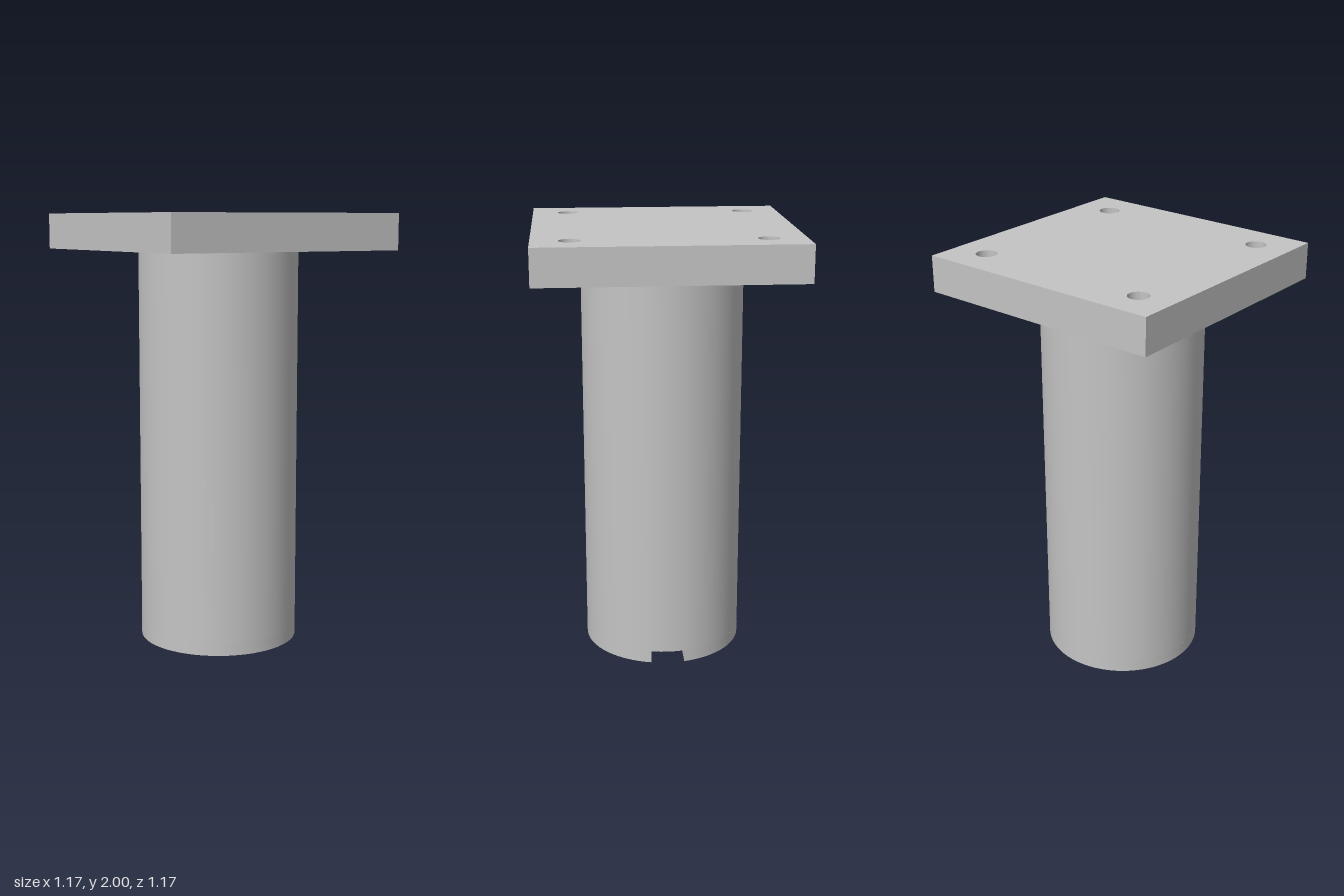
import * as THREE from 'three';
import { toCreasedNormals } from 'three/addons/utils/BufferGeometryUtils.js';

const OUTER = 0.37, BORE = 0.234;          // tube radii
const SLOT_HALF = 0.077, SLOT_TOP = 0.057; // keyway in the lower rim, on +x
const PLATE = 0.585, PLATE_BOTTOM = 1.835, TOP = 2;
const BOLT = 0.419, BOLT_R = 0.047;

// Circular hole for a shape
function hole(x, y, r) {
  const path = new THREE.Path();
  path.absarc(x, y, r, 0, Math.PI * 2, true);
  return path;
}

// Extrude a floor-plan shape upwards from y0 to y1
function extrudeUp(shape, y0, y1) {
  const g = new THREE.ExtrudeGeometry(shape, { depth: y1 - y0, bevelEnabled: false, curveSegments: 36 });
  g.rotateX(-Math.PI / 2);
  g.translate(0, y0, 0);
  return toCreasedNormals(g, Math.PI / 6);
}

export function createModel() {
  const model = new THREE.Group();
  model.name = 'flangedTube';
  const metal = new THREE.MeshStandardMaterial({ color: 0xc4c4c4 });
  metal.name = 'grey metal';

  function add(name, shape, y0, y1) {
    const mesh = new THREE.Mesh(extrudeUp(shape, y0, y1), metal);
    mesh.name = name;
    model.add(mesh);
  }

  // Square mounting plate with four bolt holes
  const plate = new THREE.Shape();
  plate.moveTo(-PLATE, -PLATE).lineTo(PLATE, -PLATE).lineTo(PLATE, PLATE).lineTo(-PLATE, PLATE).closePath();
  for (const sx of [-1, 1]) {
    for (const sz of [-1, 1]) plate.holes.push(hole(sx * BOLT, sz * BOLT, BOLT_R));
  }
  add('mountingPlate', plate, PLATE_BOTTOM, TOP);

  // Hollow tube above the keyway
  const ring = new THREE.Shape();
  ring.absarc(0, 0, OUTER, 0, Math.PI * 2, false);
  ring.holes.push(hole(0, 0, BORE));
  add('tube', ring, SLOT_TOP, PLATE_BOTTOM);

  // Lower rim, a ring cut open by the keyway
  const a = Math.asin(SLOT_HALF / OUTER), b = Math.asin(SLOT_HALF / BORE);
  const rim = new THREE.Shape();
  rim.absarc(0, 0, OUTER, a, Math.PI * 2 - a, false);
  rim.absarc(0, 0, BORE, Math.PI * 2 - b, b, true);
  rim.closePath();
  add('slottedRim', rim, 0, SLOT_TOP);

  return model;
}
